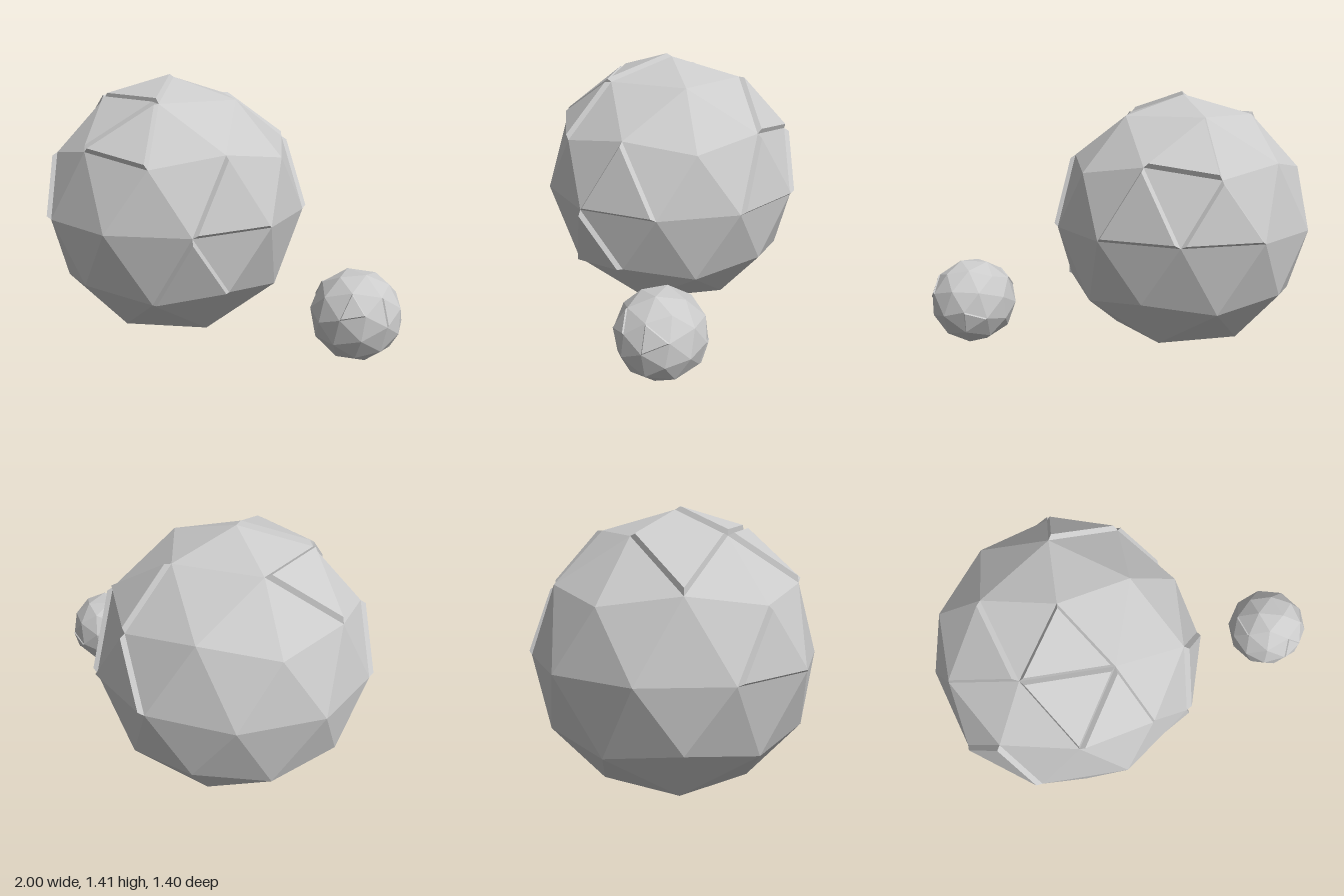
import * as THREE from 'three';

const MATERIAL = new THREE.MeshStandardMaterial({ color: 0xcccccc, flatShading: true });

// Faceted ball with one vertex at the top; the faces nearest the given
// directions become low raised plates with sloping rims.
function facetedBall(radius, plateDirections, height, inset) {
  const ico = new THREE.IcosahedronGeometry(1, 1);
  ico.rotateZ(-Math.atan(2 / (1 + Math.sqrt(5))));
  const p = ico.attributes.position;

  const faces = [];
  for (let i = 0; i < p.count; i += 3) {
    const corners = [0, 1, 2].map((k) => new THREE.Vector3().fromBufferAttribute(p, i + k));
    const centre = corners[0].clone().add(corners[1]).add(corners[2]).divideScalar(3);
    faces.push({ corners, centre, normal: centre.clone().normalize() });
  }

  const plates = new Set(plateDirections.map((d) => {
    const dir = new THREE.Vector3(...d).normalize();
    return faces.reduce((a, b) => (b.normal.dot(dir) > a.normal.dot(dir) ? b : a));
  }));

  const out = [];
  const tri = (...vs) => vs.forEach((v) => out.push(v.x * radius, v.y * radius, v.z * radius));
  for (const face of faces) {
    const c = face.corners;
    if (!plates.has(face)) {
      tri(...c);
      continue;
    }
    const top = c.map((v) => v.clone().lerp(face.centre, inset).addScaledVector(face.normal, height));
    tri(...top);
    for (let k = 0; k < 3; k++) {
      const n = (k + 1) % 3;
      tri(c[k], c[n], top[n]);
      tri(c[k], top[n], top[k]);
    }
  }

  const geometry = new THREE.BufferGeometry();
  geometry.setAttribute('position', new THREE.Float32BufferAttribute(out, 3));
  geometry.computeVertexNormals();
  return geometry;
}

export function createModel() {
  const model = new THREE.Group();
  model.name = 'planetAndMoon';

  // Large planet with raised land plates
  const planet = new THREE.Mesh(facetedBall(0.695, [
    [-0.56, 0.74, 0], [-0.09, 0.9, 0.29], [-0.17, 0.74, 0.53], [0.06, 0.61, 0.72],
    [0.74, 0.18, -0.54], [0.29, 0.15, -0.89], [0.37, 0.61, -0.62],
    [0.52, -0.32, 0.71], [-0.75, 0.15, 0.55], [0.74, 0.18, 0.54],
  ], 0.035, 0.1), MATERIAL);
  planet.name = 'planet';
  planet.position.set(-0.335, 0.7, 0);
  model.add(planet);

  // Small moon, tilted
  const moon = new THREE.Mesh(facetedBall(0.217, [
    [0, 0.6, 0.8], [0.7, 0.2, 0.6], [-0.6, 0.5, -0.6], [0.3, -0.6, -0.7],
  ], 0.03, 0.1), MATERIAL);
  moon.name = 'moon';
  moon.position.set(0.785, 0.352, 0.28);
  moon.rotation.set(0.25, 0.4, 0.3);
  model.add(moon);

  return model;
}
